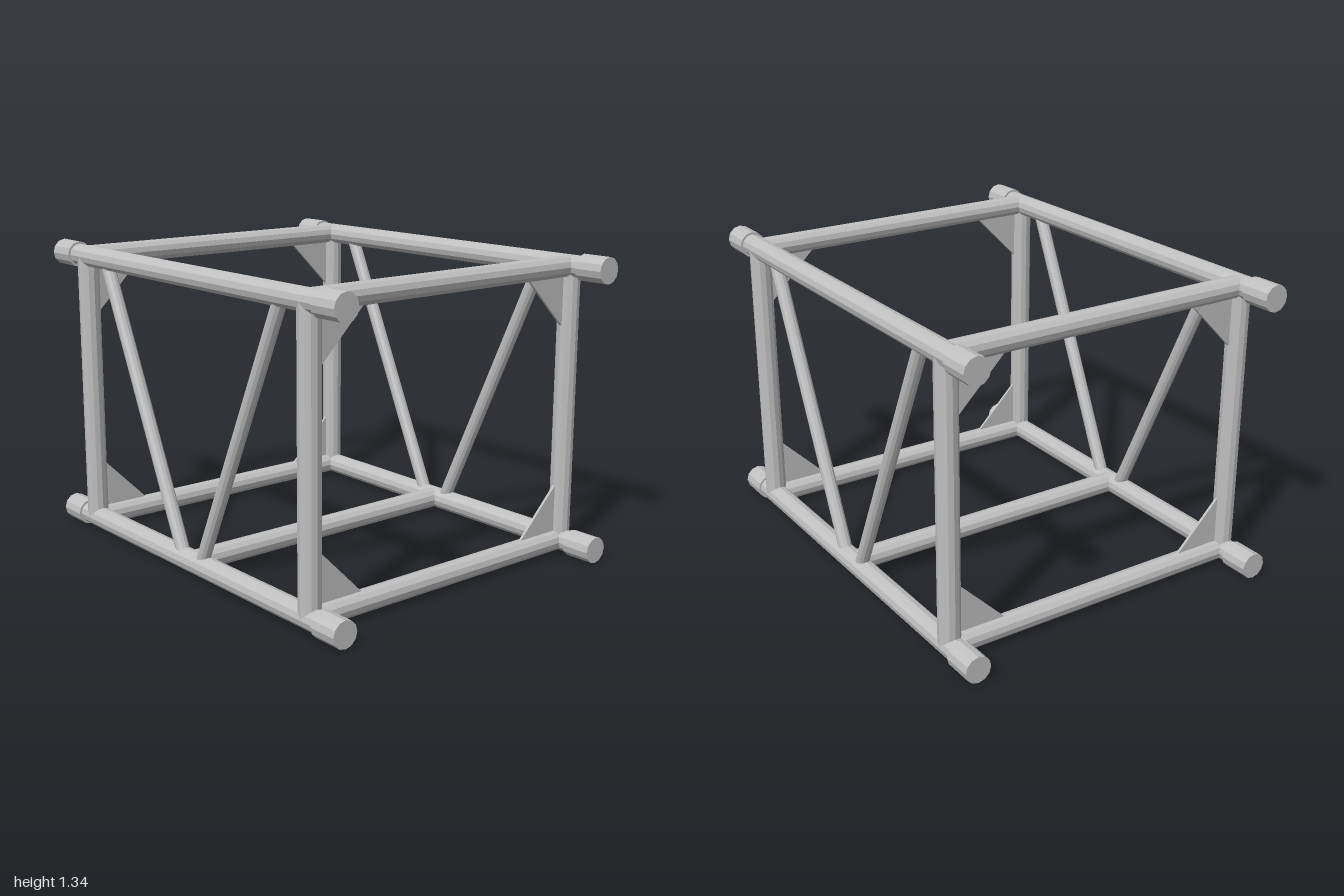
import * as THREE from 'three';

const LOW = 0.06, HIGH = 1.283;   // chord axis heights
const DEPTH = 0.713;              // chord axis z
const FRAME_X = 0.79;             // end frame x
const TUBE = 0.048, BRACE = 0.03, SLEEVE = 0.058;

export function createModel() {
  const model = new THREE.Group();
  model.name = 'trussSegment';
  const metal = new THREE.MeshStandardMaterial({ color: 0xc0c0c0, flatShading: true });
  metal.name = 'aluminium grey';

  const add = (name, geometry) => {
    const mesh = new THREE.Mesh(geometry, metal);
    mesh.name = name;
    model.add(mesh);
    return mesh;
  };

  // Twelve-sided round bar between two points
  const bar = (name, from, to, radius) => {
    const a = new THREE.Vector3(...from), b = new THREE.Vector3(...to);
    const dir = b.clone().sub(a);
    const mesh = add(name, new THREE.CylinderGeometry(radius, radius, dir.length(), 12));
    mesh.position.copy(a).add(b).multiplyScalar(0.5);
    mesh.quaternion.setFromUnitVectors(new THREE.Vector3(0, 1, 0), dir.normalize());
  };

  // Long chords with a coupling sleeve at each end
  for (const z of [-DEPTH, DEPTH]) {
    for (const y of [LOW, HIGH]) {
      bar('chord', [-0.9, y, z], [0.9, y, z], TUBE);
      for (const s of [-1, 1]) bar('couplingSleeve', [s * 0.865, y, z], [s, y, z], SLEEVE);
    }
    // Posts and diagonal braces of the long sides
    for (const s of [-1, 1]) {
      bar('post', [s * FRAME_X, LOW, z], [s * FRAME_X, HIGH, z], TUBE - 0.001);
      bar('diagonalBrace', [s * 0.062, LOW, z], [s * 0.63, HIGH, z], BRACE);
    }
  }

  // Cross tubes of the end frames and the lower middle tube
  for (const [x, y] of [[-FRAME_X, LOW], [-FRAME_X, HIGH], [FRAME_X, LOW], [FRAME_X, HIGH], [0, LOW]]) {
    bar('crossTube', [x, y, -DEPTH], [x, y, DEPTH], TUBE - 0.001);
  }

  // Triangular gusset plates in the corners of the end frames
  const leg = 0.3, thick = 0.012;
  for (const x of [-FRAME_X, FRAME_X]) {
    for (const sz of [-1, 1]) {
      for (const sy of [-1, 1]) {
        const y = sy < 0 ? LOW : HIGH;
        // shape x runs along -z once the plate is turned
        const shape = new THREE.Shape([
          new THREE.Vector2(-sz * DEPTH, y),
          new THREE.Vector2(-sz * (DEPTH - leg), y),
          new THREE.Vector2(-sz * DEPTH, y - sy * leg),
        ]);
        const plate = add('gussetPlate', new THREE.ExtrudeGeometry(shape, { depth: thick, bevelEnabled: false }));
        plate.rotation.y = Math.PI / 2;
        plate.position.x = x - thick / 2;
      }
    }
  }
  return model;
}
